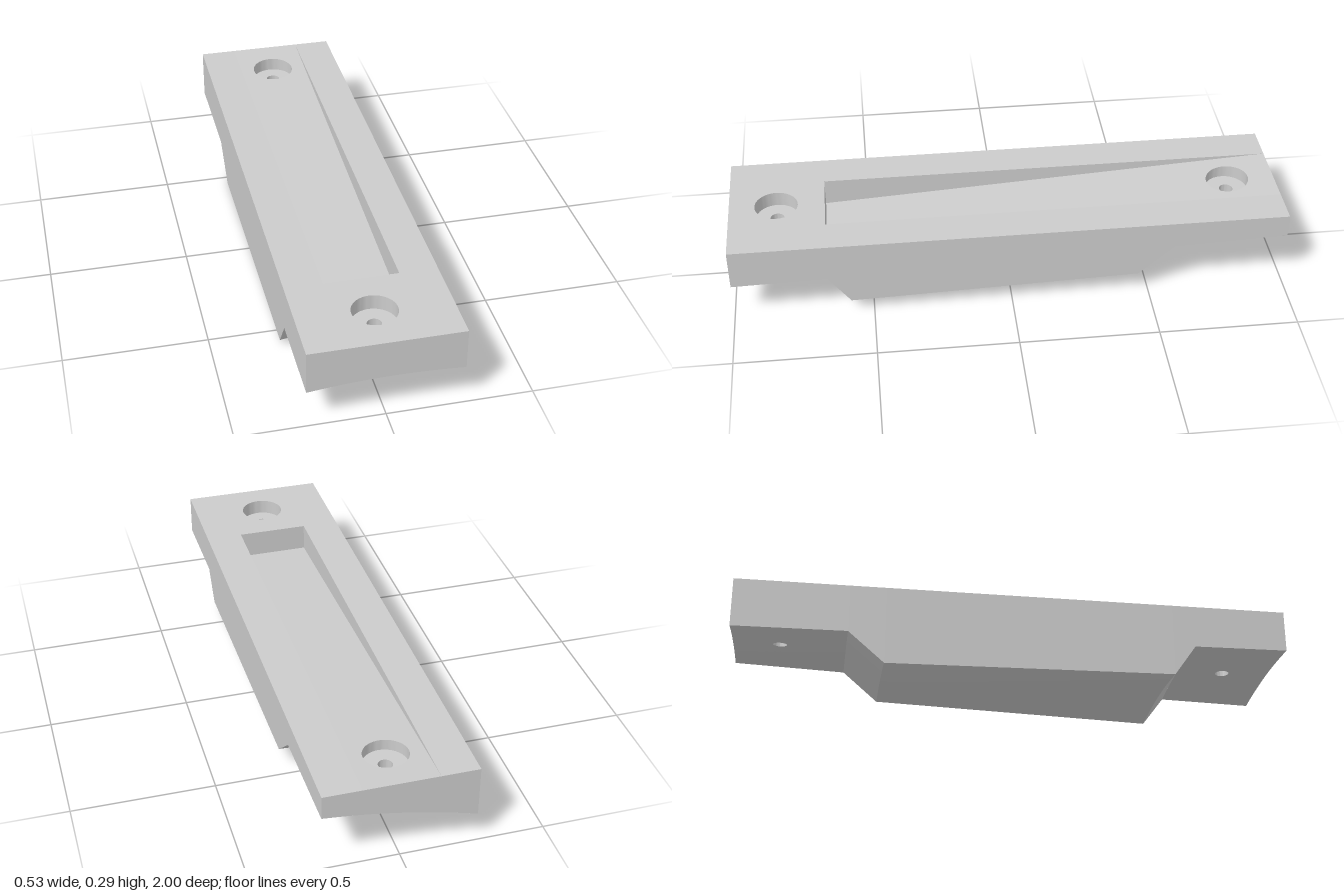
import * as THREE from 'three';
import { toCreasedNormals } from 'three/addons/utils/BufferGeometryUtils.js';

const W = 0.264, TOP = 0.295;            // half width, height of the flat top
const POCKET_W = 0.13, POCKET_Z = 0.655; // pocket half width and deep end
const POCKET_DEPTH = 0.1;
const BORE_R = 0.078, BORE_Y = 0.24, HOLE_R = 0.025, HOLE_Z = 0.83;

// Underside sections from front to back: z, height at -x edge, middle, +x edge
const SECTIONS = [
  [1, 0.14, 0.157, 0.147],
  [0.66, 0.135, 0.159, 0.155],
  [0.58, 0.02, 0.048, 0.047],
  [-0.46, 0, 0.0545, 0.08],
  [-0.59, 0.115, 0.17, 0.195],
  [-1, 0.11, 0.1745, 0.21],
];

// Height of the arched, slightly twisted underside
function underY(x, z) {
  let i = 0;
  while (i < SECTIONS.length - 2 && z < SECTIONS[i + 1][0]) i++;
  const a = SECTIONS[i], b = SECTIONS[i + 1];
  const t = (z - a[0]) / (b[0] - a[0]);
  const [l, m, r] = [1, 2, 3].map((k) => a[k] + (b[k] - a[k]) * t);
  const u = x / W;
  return m + ((r - l) / 2) * u + ((r + l) / 2 - m) * u * u;
}

// Pocket floor rises from the deep end to the top at the back
const floorY = (x, z) => TOP - (POCKET_DEPTH * (z + 1)) / (POCKET_Z + 1);
const flat = (y) => () => y;

// Surface through rows of [x, z] points, each row with its own height rule
function loft(rows) {
  const pos = [], index = [], n = rows[0].pts.length;
  for (const { pts, y } of rows) for (const [x, z] of pts) pos.push(x, y(x, z), z);
  for (let r = 0; r < rows.length - 1; r++) {
    for (let i = 0; i < n - 1; i++) {
      const a = r * n + i, b = a + n;
      index.push(a, b, b + 1, a, b + 1, a + 1);
    }
  }
  const g = new THREE.BufferGeometry();
  g.setAttribute('position', new THREE.Float32BufferAttribute(pos, 3));
  g.setIndex(index);
  return toCreasedNormals(g, 0.35);
}

// Upward facing sheet with optional round hole, heights set by a rule
function sheet(pts, holeZ, holeR, y) {
  const shape = new THREE.Shape(pts.map(([x, z]) => new THREE.Vector2(x, -z)));
  if (holeR) {
    shape.holes.push(new THREE.Path(circle(holeZ, holeR).map(([x, z]) => new THREE.Vector2(x, -z)).slice(0, -1)));
  }
  const g = new THREE.ShapeGeometry(shape).rotateX(-Math.PI / 2);
  const p = g.attributes.position;
  for (let i = 0; i < p.count; i++) p.setY(i, y(p.getX(i), p.getZ(i)));
  return toCreasedNormals(g, 0.35);
}

const SEG = 64;
function circle(cz, r) {
  return Array.from({ length: SEG + 1 }, (_, i) => {
    const t = (i / SEG) * Math.PI * 2;
    return [r * Math.cos(t), cz + r * Math.sin(t)];
  });
}

// Rectangle with the same point count and start as circle()
function rectangle(z0, z1) {
  return circle(0, 1).map(([c, s]) => {
    const m = Math.max(Math.abs(c), Math.abs(s));
    return [(W * c) / m, (z0 + z1) / 2 + (((z1 - z0) / 2) * s) / m];
  });
}

const mix = (a, b, t) => a.map((p, i) => [p[0] + (b[i][0] - p[0]) * t, p[1] + (b[i][1] - p[1]) * t]);
const steps = (n) => Array.from({ length: n + 1 }, (_, i) => i / n);

export function createModel() {
  const group = new THREE.Group();
  const material = new THREE.MeshStandardMaterial({ color: 0xcccccc, side: THREE.DoubleSide });
  const add = (name, geometry) => {
    const mesh = new THREE.Mesh(geometry, material);
    mesh.name = name;
    group.add(mesh);
  };

  // Flat top frame, open where the pocket runs out at the back
  add('topFrame', sheet([
    [-W, 1], [W, 1], [W, -1], [POCKET_W, -1], [POCKET_W, POCKET_Z],
    [-POCKET_W, POCKET_Z], [-POCKET_W, -1], [-W, -1],
  ], HOLE_Z, BORE_R, flat(TOP)));

  // Tapered pocket
  const pocket = [[POCKET_W, -1], [POCKET_W, POCKET_Z], [-POCKET_W, POCKET_Z], [-POCKET_W, -1]];
  add('pocketFloor', sheet(pocket, -HOLE_Z, BORE_R, floorY));
  add('pocketWalls', loft([{ pts: pocket, y: flat(TOP) }, { pts: pocket, y: floorY }]));

  // Outer walls, following the underside around the perimeter
  const xs = steps(24).map((t) => -W + 2 * W * t);
  const zs = SECTIONS.map((s) => s[0]);
  const perimeter = [
    ...xs.map((x) => [x, 1]),
    ...zs.slice(1).map((z) => [W, z]),
    ...xs.slice(0, -1).reverse().map((x) => [x, -1]),
    ...zs.slice(0, -1).reverse().map((z) => [-W, z]),
  ];
  add('outerWalls', loft([{ pts: perimeter, y: flat(TOP) }, { pts: perimeter, y: underY }]));

  // Lowered middle of the underside with its two sloped steps
  const rows = [];
  for (let i = 1; i < 4; i++) {
    for (const t of steps(6)) {
      if (t === 0 && i > 1) continue;
      const z = zs[i] + (zs[i + 1] - zs[i]) * t;
      rows.push({ pts: xs.map((x) => [x, z]), y: underY });
    }
  }
  add('undersideMiddle', loft(rows));

  // Mounting pads with counterbored screw holes at both ends
  for (const [end, s, z0, z1] of [['front', 1, zs[1], 1], ['back', -1, -1, zs[4]]]) {
    const z = s * HOLE_Z;
    const hole = circle(z, HOLE_R), bore = circle(z, BORE_R), edge = rectangle(z0, z1);
    add(end + 'PadUnderside', loft(steps(8).map((t) => ({ pts: mix(hole, edge, t), y: underY }))));
    add(end + 'CounterboreWall', loft([
      { pts: bore, y: s > 0 ? flat(TOP) : floorY }, { pts: bore, y: flat(BORE_Y) },
    ]));
    add(end + 'CounterboreFloor', loft([{ pts: bore, y: flat(BORE_Y) }, { pts: hole, y: flat(BORE_Y) }]));
    add(end + 'ScrewHole', loft([{ pts: hole, y: flat(BORE_Y) }, { pts: hole, y: underY }]));
  }
  return group;
}
